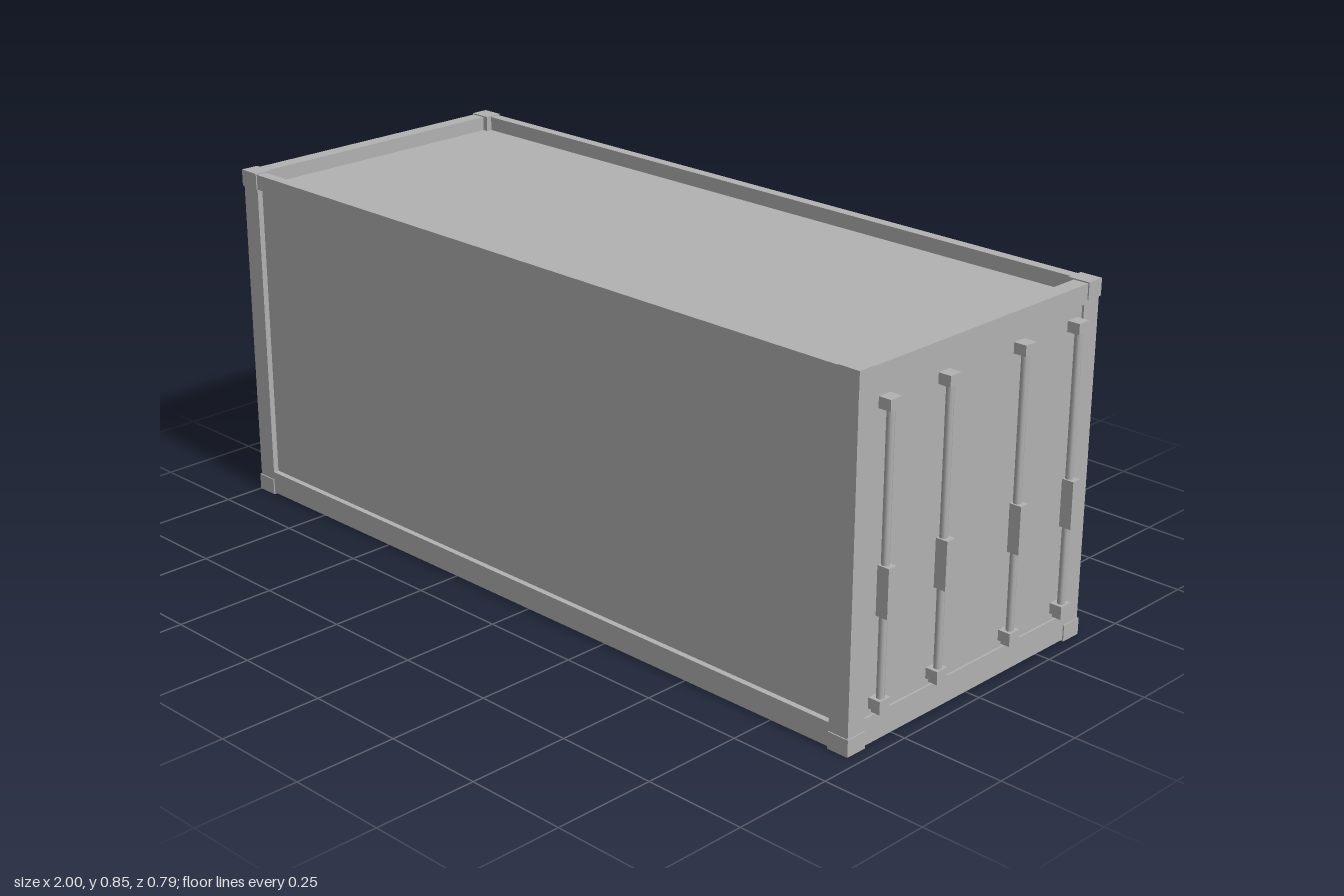
import * as THREE from 'three';

export function createModel() {
  const model = new THREE.Group();
  const steel = new THREE.MeshStandardMaterial({ color: 0xb2b2b2 });
  steel.name = 'grey steel';

  // Overall extents of the box body
  const X0 = -1, X1 = 0.97, Z = 0.397, H = 0.845, LIP = 0.003;

  // Box given by its minimum and maximum on each axis
  function block(name, x0, x1, y0, y1, z0, z1, parent = model) {
    const mesh = new THREE.Mesh(new THREE.BoxGeometry(x1 - x0, y1 - y0, z1 - z0), steel);
    mesh.name = name;
    mesh.position.set((x0 + x1) / 2, (y0 + y1) / 2, (z0 + z1) / 2);
    parent.add(mesh);
    return mesh;
  }

  // Box on the +z or -z side, measured outwards from the centre
  function sideBlock(name, side, x0, x1, y0, y1, zIn, zOut) {
    return side > 0
      ? block(name, x0, x1, y0, y1, zIn, zOut)
      : block(name, x0, x1, y0, y1, -zOut, -zIn);
  }

  // Corner posts with slightly proud castings at top and bottom
  for (const side of [1, -1]) {
    for (const end of [0, 1]) {
      const a = end ? X1 - 0.055 : X0, b = end ? X1 : X0 + 0.055;
      const pa = end ? a : a + LIP, pb = end ? b - LIP : b;
      sideBlock('cornerPost', side, pa, pb, 0.04, 0.805, Z - 0.055, Z - LIP);
      sideBlock('bottomCasting', side, a, b, 0, 0.04, Z - 0.055, Z);
      sideBlock('topCasting', side, a, b, 0.805, H, Z - 0.045, Z);
    }
  }

  // Long rails and recessed side walls
  for (const side of [1, -1]) {
    sideBlock('topSideRail', side, X0 + 0.055, X1 - 0.055, 0.805, H - LIP, Z - 0.03, Z - LIP);
    sideBlock('bottomSideRail', side, X0 + 0.055, X1 - 0.055, 0.004, 0.06, Z - 0.026, Z - LIP);
    sideBlock('sideWall', side, X0 + 0.05, X1 - 0.05, 0.055, 0.81, Z - 0.026, Z - 0.017);
  }

  // Cross rails at both ends
  const zr = Z - 0.045;
  for (const end of [0, 1]) {
    const outer = end ? X1 - LIP : X0 + LIP, dir = end ? -1 : 1;
    const span = (d) => [Math.min(outer, outer + dir * d), Math.max(outer, outer + dir * d)];
    block('topEndRail', ...span(0.038), 0.797, H - LIP, -zr, zr);
    block('bottomEndRail', ...span(0.024), 0.004, 0.067, -zr, zr);
  }

  // End wall, door panel and sunken roof; the underside stays open
  block('endWall', X0 + 0.015, X0 + 0.024, 0.06, 0.80, -0.35, 0.35);
  block('doorPanel', X1 - 0.02, X1 - 0.008, 0.06, 0.80, -0.35, 0.35);
  block('roof', X0 + 0.03, X1 - 0.03, 0.797, 0.807, -Z + 0.02, Z - 0.02);

  // Door locking bars with brackets and handles
  for (const z of [0.31, 0.124, -0.124, -0.31]) {
    const lock = new THREE.Group();
    lock.name = 'lockingBar';
    const rod = new THREE.Mesh(new THREE.CylinderGeometry(0.009, 0.009, 0.67, 8), steel);
    rod.name = 'rod';
    rod.position.set(0.98, 0.425, z);
    lock.add(rod);
    block('topBracket', 0.96, 0.993, 0.747, 0.772, z - 0.017, z + 0.017, lock);
    block('bottomBracket', 0.96, 0.993, 0.085, 0.11, z - 0.017, z + 0.017, lock);
    block('bottomPin', 0.965, 0.988, 0.075, 0.086, z - 0.01, z + 0.01, lock);
    block('handle', 0.97, 1.0, 0.297, 0.41, z - 0.0125, z + 0.0125, lock);
    model.add(lock);
  }

  return model;
}
